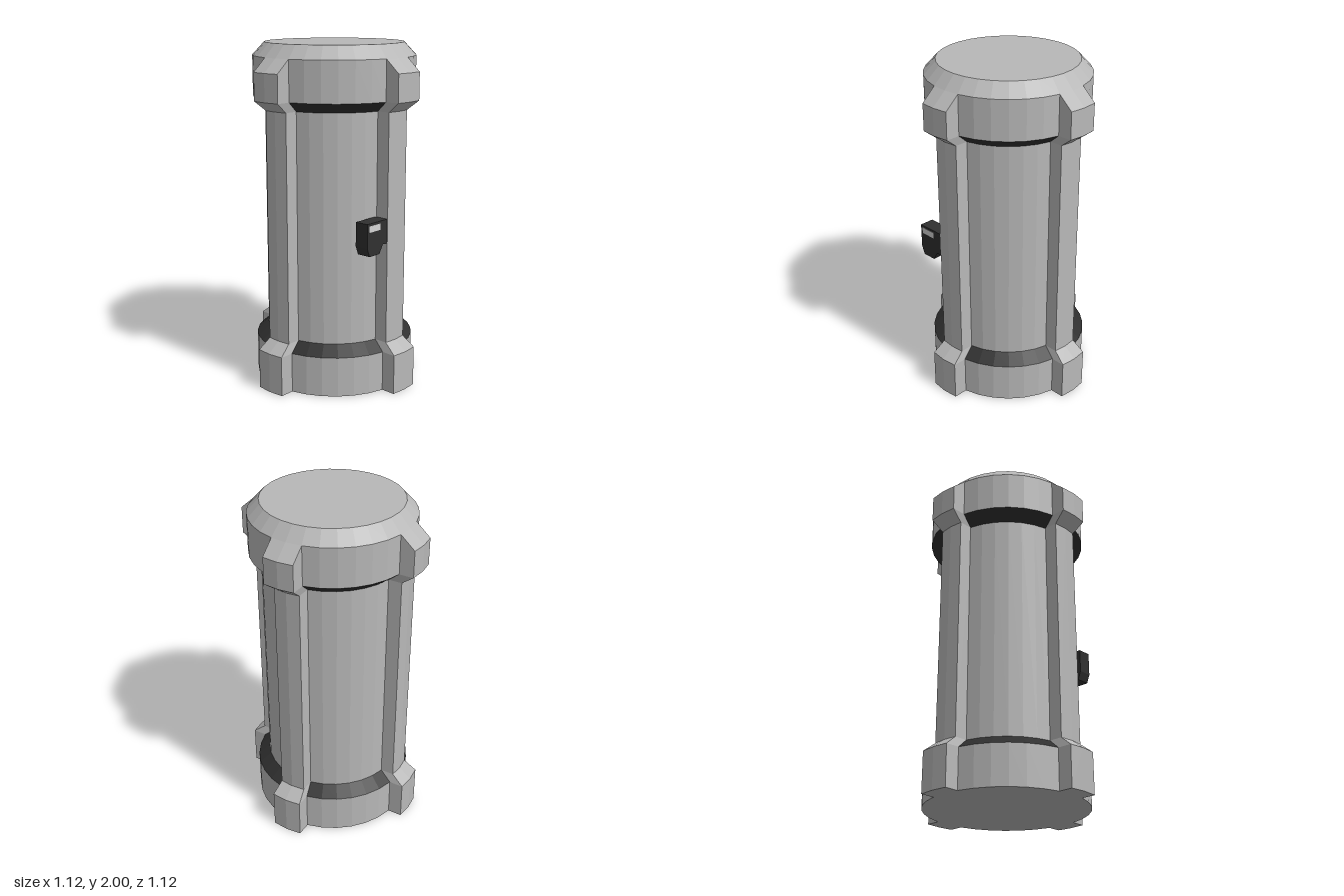
import * as THREE from 'three';

const SIDES = 32;
const STEP = (Math.PI * 2) / SIDES;
const R_CAP = 0.475, R_SHAFT = 0.405;

// Faceted solid of revolution; points run from bottom to top
function turned(name, points, material) {
  const profile = points.map(([r, y]) => new THREE.Vector2(r, y));
  const geometry = new THREE.LatheGeometry(profile, SIDES).toNonIndexed();
  geometry.computeVertexNormals();
  const mesh = new THREE.Mesh(geometry, material);
  mesh.name = name;
  return mesh;
}

// Rib facing +z: body radius, how far it stands out, and height at each level
function ribGeometry() {
  const levels = [
    [0, R_CAP, 0.085], [0.237, R_CAP, 0.085],
    [0.295, R_SHAFT, 0.08], [1.635, R_SHAFT, 0.08],
    [1.692, R_CAP, 0.085], [1.85, R_CAP, 0.085], [1.925, R_CAP, 0],
  ];
  const loops = levels.map(([y, r, out]) => {
    const w = r * Math.sin(STEP), z = r * Math.cos(STEP);
    return [[-w, y, z - 0.02], [-w, y, z + out], [0, y, r + out], [w, y, z + out], [w, y, z - 0.02]];
  });
  const positions = [];
  const tri = (a, b, c) => positions.push(...a, ...b, ...c);
  for (let i = 0; i < loops.length - 1; i++) {
    for (let j = 0; j < 4; j++) {
      const a = loops[i][j], b = loops[i][j + 1], c = loops[i + 1][j + 1], d = loops[i + 1][j];
      tri(a, b, c);
      tri(a, c, d);
    }
  }
  // Underside
  const base = loops[0];
  for (let j = 1; j < 4; j++) tri(base[0], base[j + 1], base[j]);
  const geometry = new THREE.BufferGeometry();
  geometry.setAttribute('position', new THREE.Float32BufferAttribute(positions, 3));
  geometry.computeVertexNormals();
  return geometry;
}

// Outline given as [z, y], extruded along x from x0
function sidePlate(name, outline, x0, depth, material) {
  const shape = new THREE.Shape(outline.map(([z, y]) => new THREE.Vector2(-z, y)));
  const geometry = new THREE.ExtrudeGeometry(shape, { depth, bevelEnabled: false });
  geometry.rotateY(Math.PI / 2);
  const mesh = new THREE.Mesh(geometry, material);
  mesh.name = name;
  mesh.position.x = x0;
  return mesh;
}

export function createModel() {
  const metal = new THREE.MeshStandardMaterial({ color: 0xb8b8b8 });
  metal.name = 'light grey metal';
  const dark = new THREE.MeshStandardMaterial({ color: 0x303030 });
  dark.name = 'dark grey';
  const pale = new THREE.MeshStandardMaterial({ color: 0xd4d4d4 });
  pale.name = 'pale display';

  const model = new THREE.Group();
  model.name = 'canister';

  // Body from bottom to top
  model.add(
    turned('lowerCap', [[0, 0], [R_CAP, 0], [R_CAP, 0.237]], metal),
    turned('lowerBevel', [[R_CAP, 0.237], [R_SHAFT, 0.295]], dark),
    turned('shaft', [[R_SHAFT, 0.295], [R_SHAFT, 1.635]], metal),
    turned('upperBevel', [[R_SHAFT, 1.635], [R_CAP, 1.692]], dark),
    turned('upperCap', [[R_CAP, 1.692], [R_CAP, 1.925], [R_SHAFT, 2], [0, 2]], metal),
  );

  // Four ribs around the body
  const rib = ribGeometry();
  for (let i = 0; i < 4; i++) {
    const mesh = new THREE.Mesh(rib, metal);
    mesh.name = 'rib';
    mesh.rotation.y = (i * Math.PI) / 2;
    model.add(mesh);
  }

  // Control box beside the left rib, with a small display
  const control = new THREE.Group();
  control.name = 'controlBox';
  control.add(
    sidePlate('controlHousing', [
      [0.25, 0.895], [0.23, 0.845], [0.145, 0.845], [0.115, 0.895],
      [0.08, 0.895], [0.08, 1.035], [0.25, 1.035],
    ], 0.39, 0.085, dark),
    sidePlate('controlDisplay', [
      [0.235, 0.985], [0.14, 0.985], [0.14, 1.022], [0.235, 1.022],
    ], 0.474, 0.003, pale),
  );
  model.add(control);

  return model;
}
